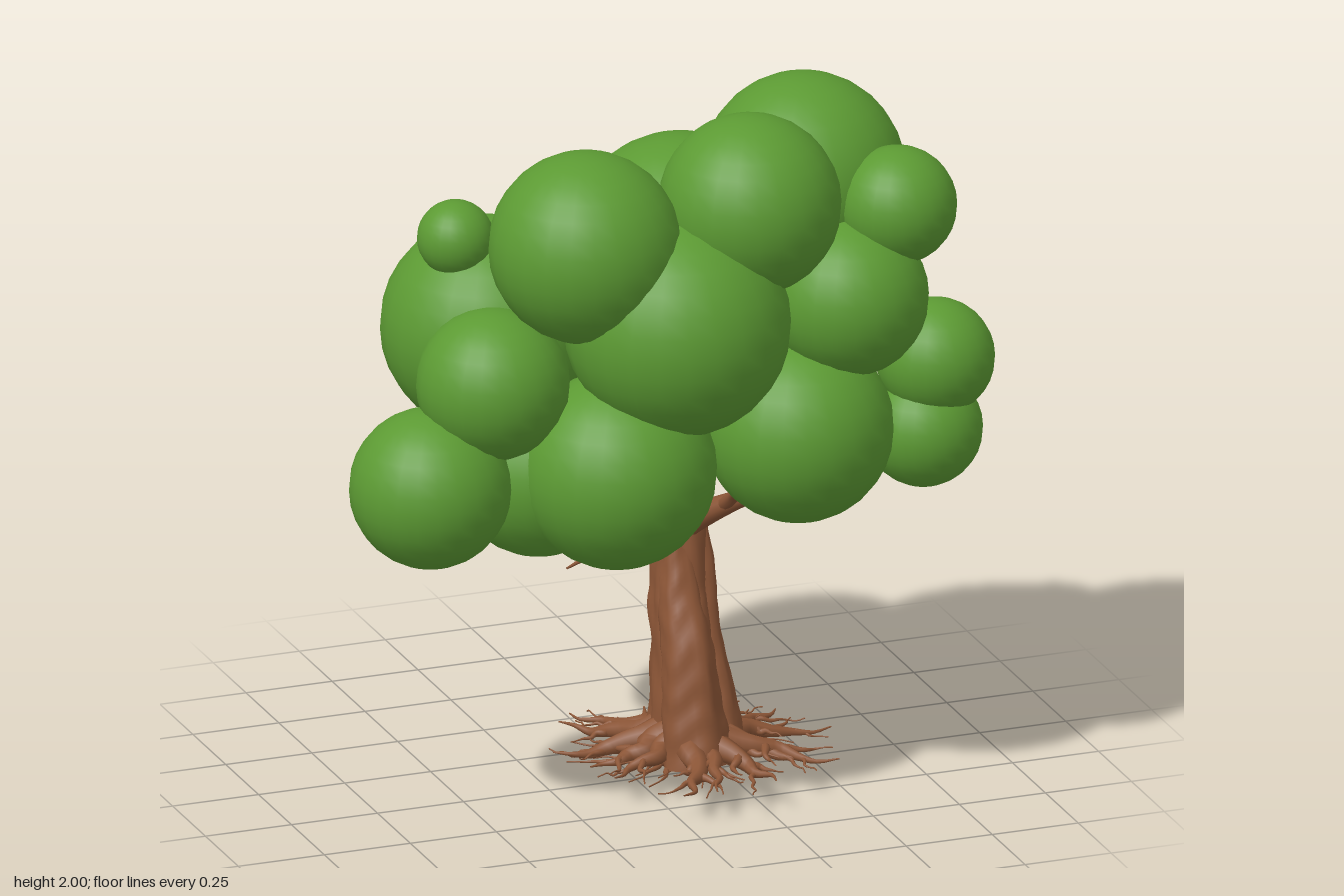
import * as THREE from 'three';
import { mergeVertices } from 'three/addons/utils/BufferGeometryUtils.js';

const bark = new THREE.MeshStandardMaterial({ color: 0x8b5536, side: THREE.DoubleSide });
const leaf = new THREE.MeshStandardMaterial({ color: 0x5c9a33 });

let seed = 7;
const rand = (a, b) => {
  seed = (seed * 16807) % 2147483647;
  return a + (b - a) * seed / 2147483647;
};

// Tapered tube through [x, y, z, radius] points; bump(angle, u) scales the radius
function limb(name, pts, steps, sides, bump = () => 1) {
  const curve = new THREE.CatmullRomCurve3(pts.map(p => new THREE.Vector3(p[0], p[1], p[2])));
  const geo = new THREE.TubeGeometry(curve, steps, 1, sides);
  const pos = geo.attributes.position, v = new THREE.Vector3();
  for (let i = 0; i <= steps; i++) {
    const u = i / steps, c = curve.getPointAt(u);
    const k = curve.getUtoTmapping(u) * (pts.length - 1);
    const a = Math.min(Math.floor(k), pts.length - 2);
    const r = THREE.MathUtils.lerp(pts[a][3], pts[a + 1][3], k - a);
    for (let j = 0; j <= sides; j++) {
      const n = i * (sides + 1) + j;
      v.fromBufferAttribute(pos, n).sub(c).multiplyScalar(r * bump((j % sides) / sides * Math.PI * 2, u)).add(c);
      pos.setXYZ(n, v.x, v.y, v.z);
    }
  }
  geo.deleteAttribute('uv');
  geo.deleteAttribute('normal');
  const smooth = mergeVertices(geo, 1e-5);
  smooth.computeVertexNormals();
  const mesh = new THREE.Mesh(smooth, bark);
  mesh.name = name;
  return mesh;
}

const barkBump = (a, u) => 1 + 0.05 * Math.sin(5 * a + 4 * u) + 0.03 * Math.sin(9 * a - 11 * u)
  + 0.025 * Math.sin(47 * u + 2 * Math.sin(3 * a));

function createTrunk() {
  const g = new THREE.Group();
  g.name = 'trunk';
  g.add(
    limb('mainStem', [[0.15, 0.06, 0, 0.12], [0.15, 0.18, 0, 0.105], [0.15, 0.36, -0.02, 0.092],
      [0.15, 0.49, -0.045, 0.09], [0.15, 0.53, -0.05, 0.083], [0.15, 0.7, -0.06, 0.075],
      [0.14, 0.85, -0.065, 0.065], [0.12, 1.02, -0.07, 0.055], [0.1, 1.25, -0.06, 0.04]], 70, 36, barkBump),
    // Front buttresses fused to the main stem
    limb('frontButtress', [[0.13, 0.07, 0.13, 0.095], [0.125, 0.2, 0.105, 0.085], [0.125, 0.38, 0.07, 0.07],
      [0.125, 0.5, 0.015, 0.06], [0.13, 0.62, -0.02, 0.045], [0.13, 0.76, -0.05, 0.03]], 44, 24, barkBump),
    limb('sideButtress', [[0.23, 0.08, 0.07, 0.06], [0.22, 0.25, 0.045, 0.045], [0.205, 0.4, 0.01, 0.037],
      [0.205, 0.6, -0.02, 0.03], [0.19, 0.75, -0.04, 0.02]], 36, 16, barkBump),
    limb('tapRoot', [[0.13, 0.1, -0.02, 0.07], [0.13, 0.06, -0.03, 0.035], [0.135, 0.03, -0.03, 0.022],
      [0.13, 0.012, -0.03, 0.022], [0.13, 0, -0.03, 0.003]], 14, 10, barkBump));
  return g;
}

function createBranches() {
  const g = new THREE.Group();
  g.name = 'branches';
  const paths = [
    [[0.13, 0.71, -0.03, 0.045], [0.06, 0.76, 0.03, 0.034], [-0.04, 0.77, 0.1, 0.023],
      [-0.11, 0.735, 0.14, 0.014], [-0.14, 0.69, 0.16, 0.012], [-0.19, 0.735, 0.18, 0.01], [-0.28, 0.72, 0.21, 0.003]],
    [[-0.07, 0.755, 0.12, 0.014], [-0.13, 0.76, 0.11, 0.009], [-0.17, 0.74, 0.13, 0.007], [-0.22, 0.765, 0.12, 0.002]],
    [[-0.02, 0.77, 0.09, 0.018], [-0.06, 0.81, 0.15, 0.013], [-0.09, 0.86, 0.2, 0.008]],
    [[0.14, 0.7, -0.03, 0.04], [0.19, 0.76, 0.04, 0.035], [0.24, 0.81, 0.11, 0.027], [0.3, 0.87, 0.2, 0.017], [0.34, 0.95, 0.25, 0.01]],
    [[0.22, 0.79, 0.08, 0.02], [0.22, 0.84, 0.16, 0.017], [0.2, 0.88, 0.23, 0.01]],
    [[0.13, 0.8, -0.05, 0.04], [0.05, 0.86, -0.06, 0.03], [-0.05, 0.87, -0.06, 0.022], [-0.13, 0.92, -0.08, 0.014], [-0.17, 1.02, -0.1, 0.006]],
    [[-0.03, 0.87, -0.06, 0.018], [-0.08, 0.91, -0.02, 0.014], [-0.11, 0.98, 0.0, 0.008]],
    [[0.13, 0.78, -0.04, 0.04], [0.1, 0.87, 0.04, 0.034], [0.07, 0.95, 0.12, 0.025], [0.05, 1.1, 0.18, 0.015]],
  ];
  paths.forEach((p, i) => g.add(limb('branch' + (i + 1), p, 18, 10)));
  return g;
}

// Wavy root running outwards from a point, thinning to a tip
function root(name, x, y, z, angle, length, radius, drop) {
  const pts = [], n = 6;
  let a = angle;
  for (let i = 0; i <= n; i++) {
    const t = i / n;
    pts.push([x, y - drop * Math.min(1, 1.6 * t) + rand(-0.005, 0.005), z, Math.max(0.002, radius * Math.pow(1 - t, 1.15))]);
    a = angle + rand(-0.55, 0.55);
    x += Math.cos(a) * length / n;
    z += Math.sin(a) * length / n;
  }
  return { mesh: limb(name, pts, 18, 8), pts };
}

function createRoots() {
  const g = new THREE.Group();
  g.name = 'roots';
  // Thick surface roots with forking rootlets
  const count = 15;
  for (let i = 0; i < count; i++) {
    const a = i / count * Math.PI * 2 + rand(-0.1, 0.1);
    const main = root('surfaceRoot', 0.14 + 0.07 * Math.cos(a), 0.135, 0.04 + 0.09 * Math.sin(a), a,
      rand(0.25, 0.36), rand(0.036, 0.05), 0.045);
    g.add(main.mesh);
    [2, 3, 4].forEach((k, j) => {
      const p = main.pts[k];
      g.add(root('rootlet', p[0], p[1], p[2], a + (j % 2 ? -0.7 : 0.7), rand(0.09, 0.16), p[3] * 0.65, 0.01).mesh);
    });
  }
  // Fine tangle underneath
  for (let i = 0; i < 26; i++) {
    const a = i * 2.4;
    g.add(root('underRoot', 0.14 + 0.03 * Math.cos(a), 0.085, 0.02 + 0.04 * Math.sin(a), a,
      rand(0.14, 0.3), rand(0.014, 0.022), rand(0.005, 0.025)).mesh);
  }
  return g;
}

function createCrown() {
  const g = new THREE.Group();
  g.name = 'crown';
  // x, y, z, radius of each leaf ball
  const balls = [
    [-0.26, 1.68, 0.3, 0.265], [0.21, 1.75, 0.32, 0.25], [0.46, 1.72, 0.07, 0.28],
    [0.635, 1.695, 0.33, 0.163], [-0.535, 1.65, 0.03, 0.105], [-0.41, 1.36, -0.035, 0.3],
    [0.18, 1.48, -0.13, 0.31], [-0.51, 1.3, 0.25, 0.21], [-0.69, 1.02, 0.245, 0.222],
    [-0.18, 1.035, 0.33, 0.273], [-0.01, 1.44, 0.345, 0.31], [0.35, 1.085, 0.32, 0.262],
    [0.49, 1.45, 0.33, 0.222], [0.745, 1.24, 0.33, 0.163], [0.71, 1.04, 0.33, 0.163],
    [-0.045, 1.2, -0.405, 0.25], [0.56, 1.27, -0.325, 0.165], [0.42, 1.07, -0.24, 0.222],
    [-0.34, 1.0, 0.15, 0.243], [0.42, 1.23, 0.03, 0.222],
  ];
  const geo = new THREE.SphereGeometry(1, 24, 16);
  balls.forEach(([x, y, z, r], i) => {
    const ball = new THREE.Mesh(geo, leaf);
    ball.name = 'leafBall' + (i + 1);
    ball.position.set(x, y, z);
    ball.scale.setScalar(r);
    g.add(ball);
  });
  return g;
}

export function createModel() {
  seed = 7;
  const tree = new THREE.Group();
  tree.name = 'tree';
  tree.add(createTrunk(), createBranches(), createRoots(), createCrown());
  return tree;
}
